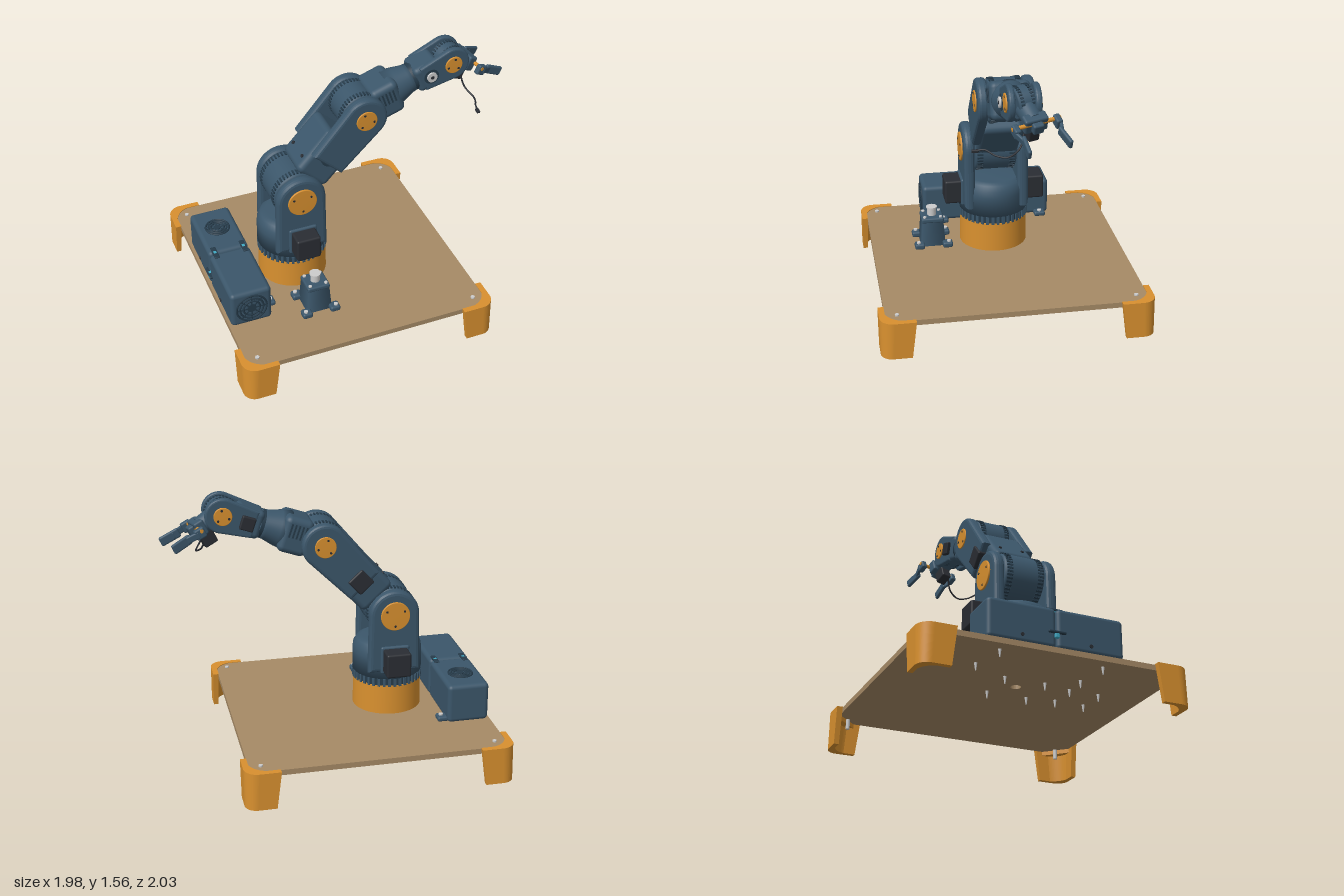
import * as THREE from 'three';
import { RoundedBoxGeometry } from 'three/addons/geometries/RoundedBoxGeometry.js';

const mat = (color) => new THREE.MeshStandardMaterial({ color });
const BLUE = mat(0x3b566a), ORANGE = mat(0xd8902f), WOOD = mat(0xa68a66), DARK = mat(0x2a2d33);
const NAVY = mat(0x263b4a), STEEL = mat(0xcccccc), CYAN = mat(0x3fa9c4);
const rad = THREE.MathUtils.degToRad;

function add(parent, name, geo, material, x = 0, y = 0, z = 0) {
  const m = new THREE.Mesh(geo, material);
  m.name = name;
  m.position.set(x, y, z);
  parent.add(m);
  return m;
}
function joint(parent, name, x, y, z, tilt) {
  const g = new THREE.Group();
  g.name = name;
  g.position.set(x, y, z);
  g.rotation.x = rad(tilt);
  parent.add(g);
  return g;
}
const rbox = (w, h, d, r = 0.015) => new RoundedBoxGeometry(w, h, d, 3, r);
const cyl = (r, h, r2 = r, n = 40) => new THREE.CylinderGeometry(r2, r, h, n);
const xcyl = (r, w, n = 40) => cyl(r, w, r, n).rotateZ(Math.PI / 2);

// Drum with a rounded rim, turning about x
function drum(r, w, b = 0.015) {
  const p = [[0, -w / 2], [r - b, -w / 2], [r - b * 0.3, -w / 2 + b * 0.3], [r, -w / 2 + b],
    [r, w / 2 - b], [r - b * 0.3, w / 2 - b * 0.3], [r - b, w / 2], [0, w / 2]];
  return new THREE.LatheGeometry(p.map(([a, c]) => new THREE.Vector2(a, c)), 48).rotateZ(Math.PI / 2);
}
// Rounded-end side plate in the z-y plane, thickness t along x
function cheek(w, y0, L, r, t, b = 0.014) {
  const s = new THREE.Shape();
  s.moveTo(-w + b, y0 + b);
  s.lineTo(w - b, y0 + b);
  s.lineTo(r - b, L);
  s.absarc(0, L, r - b, 0, Math.PI, false);
  s.closePath();
  const g = new THREE.ExtrudeGeometry(s, { depth: t - 2 * b, bevelSize: b, bevelThickness: b, bevelSegments: 3, curveSegments: 24 });
  return g.translate(0, 0, b - t / 2).rotateY(-Math.PI / 2);
}
// Ring of small teeth around an x-axis drum
function teeth(parent, r, xs, w, n, y = 0) {
  for (const x of xs) for (let i = 0; i < n; i++) {
    const a = (i / n) * Math.PI * 2;
    const t = add(parent, 'drumRib', new THREE.BoxGeometry(w, 0.012, 0.01), NAVY, x, y + r * Math.cos(a), r * Math.sin(a));
    t.rotation.x = a;
  }
}
// Orange bearing cap with three screws
function caps(parent, r, x, y) {
  for (const s of [-1, 1]) {
    add(parent, 'jointCap', drum(r, 0.016, 0.004), ORANGE, s * x, y, 0);
    for (let i = 0; i < 3; i++) {
      const a = (i / 3) * Math.PI * 2 + 0.5;
      add(parent, 'capScrew', xcyl(0.007, 0.02, 10), DARK, s * x, y + r * 0.7 * Math.sin(a), r * 0.7 * Math.cos(a));
    }
  }
}
function pulley(parent, x, y, r) {
  add(parent, 'pulleyRecess', xcyl(r * 1.5, 0.008), NAVY, x, y, 0);
  add(parent, 'pulley', xcyl(r, 0.03, 24), STEEL, x, y, 0);
  add(parent, 'pulleyBore', xcyl(r * 0.35, 0.034, 16), DARK, x, y, 0);
}

function buildTable(rig) {
  const hx = 0.745, hz = 0.735, r = 0.06;
  const s = new THREE.Shape();
  s.absarc(hx - r, hz - r, r, 0, Math.PI / 2);
  s.absarc(-hx + r, hz - r, r, Math.PI / 2, Math.PI);
  s.absarc(-hx + r, -hz + r, r, Math.PI, Math.PI * 1.5);
  s.absarc(hx - r, -hz + r, r, Math.PI * 1.5, Math.PI * 2);
  s.holes.push(new THREE.Path().absarc(0, 0.208, 0.03, 0, Math.PI * 2, true));
  add(rig, 'board', new THREE.ExtrudeGeometry(s, { depth: 0.032, bevelEnabled: false }).rotateX(Math.PI / 2), WOOD, 0, 0.216, 0);

  // Corner legs: rounded L walls tapering toward the floor
  const L = 0.2, t = 0.034, R = 0.08, H = 0.22;
  const leg = new THREE.Shape();
  leg.moveTo(-L, 0);
  leg.lineTo(-L, -t);
  leg.lineTo(-0.12, -t);
  leg.quadraticCurveTo(-0.055, -0.055, -t, -0.12);
  leg.lineTo(-t, -L);
  leg.lineTo(0, -L);
  leg.lineTo(0, -R);
  leg.absarc(-R, -R, R, 0, Math.PI / 2);
  const legGeo = new THREE.ExtrudeGeometry(leg, { depth: H, bevelEnabled: false }).rotateX(Math.PI / 2).translate(0, H, 0);
  const p = legGeo.attributes.position;
  for (let i = 0; i < p.count; i++) {
    const f = 0.86 + 0.14 * (p.getY(i) / H);
    p.setXYZ(i, p.getX(i) * f, p.getY(i), p.getZ(i) * f);
  }
  legGeo.computeVertexNormals();
  const shelf = new THREE.Shape([[-0.02, -0.06], [-0.06, -0.02], [-0.17, -0.02], [-0.02, -0.17]].map(([a, b]) => new THREE.Vector2(a, b)));
  const shelfGeo = new THREE.ExtrudeGeometry(shelf, { depth: 0.025, bevelEnabled: false }).rotateX(Math.PI / 2);
  [[1, 1], [1, -1], [-1, -1], [-1, 1]].forEach(([sx, sz], k) => {
    const g = joint(rig, 'leg', sx * 0.778, 0, sz * 0.768, 0);
    g.rotation.y = k * Math.PI / 2;
    add(g, 'legWall', legGeo, ORANGE);
    add(g, 'legShelf', shelfGeo, ORANGE, 0, 0.184, 0);
    add(g, 'legScrew', cyl(0.012, 0.1, 0.012, 12), STEEL, -0.1, 0.175, -0.1);
  });
  // Bolt tips under the board
  const bolts = [[-0.34, 0.44], [0.28, 0.44], [-0.3, 0.66], [0.3, 0.66]];
  for (const sx of [-1, 1]) for (const sz of [-1, 1]) bolts.push([0.377 + sx * 0.09, 0.205 + sz * 0.09], [sx * 0.12, 0.208 + sz * 0.12]);
  for (const [x, z] of bolts) add(rig, 'boltTip', cyl(0.003, 0.05, 0.01, 10), STEEL, x, 0.165, z);
}

function buildControlBox(rig) {
  const g = joint(rig, 'controlBox', 0, 0.215, 0.6, 0);
  for (const s of [-1, 1]) add(g, 'boxHalf', rbox(0.398, 0.232, 0.245, 0.025), BLUE, s * 0.2, 0.116, 0);
  for (const [y, z] of [[0.232, -0.09], [0.232, 0.085], [0.09, 0.122]]) {
    add(g, 'clip', rbox(0.1, 0.014, 0.03, 0.005), NAVY, 0, y, z);
    add(g, 'clipTab', rbox(0.025, 0.04, 0.022, 0.005), CYAN, 0, y - 0.012, z);
  }
  // Fan grilles on the top and the end
  const grille = (parent, r) => {
    add(parent, 'fanHub', cyl(r * 0.3, 0.008), NAVY);
    for (const k of [0.55, 0.78, 1]) add(parent, 'fanRing', new THREE.TorusGeometry(r * k, 0.006, 6, 36).rotateX(Math.PI / 2), NAVY);
    for (let i = 0; i < 4; i++) add(parent, 'fanSpoke', new THREE.BoxGeometry(r * 2, 0.006, 0.008), NAVY).rotation.y = i * Math.PI / 4;
  };
  grille(joint(g, 'topFan', -0.22, 0.233, 0, 0), 0.07);
  const end = joint(g, 'endFan', 0.4, 0.115, 0, 0);
  end.rotation.z = -Math.PI / 2;
  grille(end, 0.09);
  for (const [x, z] of [[-0.34, -0.14], [0.28, -0.14]]) {
    add(g, 'mountEar', rbox(0.07, 0.03, 0.07, 0.012), BLUE, x, 0.016, z);
    add(g, 'earScrew', cyl(0.013, 0.02, 0.013, 12), STEEL, x, 0.03, z - 0.01);
  }
  for (const x of [-0.2, 0.2]) add(g, 'frontScrew', cyl(0.01, 0.01, 0.01, 12).rotateX(Math.PI / 2), DARK, x, 0.045, 0.123);
}

function buildMotorStand(rig) {
  const g = joint(rig, 'motorStand', 0.377, 0.215, 0.205, 0);
  add(g, 'standBody', cyl(0.105, 0.175, 0.088, 4).rotateY(Math.PI / 4), BLUE, 0, 0.0875, 0);
  add(g, 'standTop', rbox(0.135, 0.03, 0.135, 0.01), BLUE, 0, 0.165, 0);
  add(g, 'standPulley', cyl(0.027, 0.055, 0.027, 20), STEEL, 0, 0.203, 0);
  add(g, 'pulleyFlange', cyl(0.033, 0.008), STEEL, 0, 0.23, 0);
  for (const sx of [-1, 1]) for (const sz of [-1, 1]) {
    add(g, 'standFoot', rbox(0.06, 0.035, 0.06, 0.012), BLUE, sx * 0.085, 0.017, sz * 0.085);
    add(g, 'footScrew', cyl(0.012, 0.012, 0.012, 12), STEEL, sx * 0.092, 0.038, sz * 0.092);
    add(g, 'topScrew', cyl(0.01, 0.012, 0.01, 12), STEEL, sx * 0.048, 0.182, sz * 0.048);
  }
}

function buildArm(rig) {
  // Turntable
  const base = joint(rig, 'turntable', 0, 0, 0.208, 0);
  add(base, 'basePedestal', cyl(0.203, 0.18, 0.2, 64), ORANGE, 0, 0.305, 0);
  add(base, 'baseRing', cyl(0.196, 0.06, 0.196, 64), NAVY, 0, 0.415, 0);
  for (let i = 0; i < 40; i++) {
    const a = i / 40 * Math.PI * 2;
    add(base, 'ringTooth', new THREE.BoxGeometry(0.016, 0.05, 0.02), BLUE, 0.196 * Math.sin(a), 0.415, 0.196 * Math.cos(a)).rotation.y = a;
  }
  const profile = [[0, 0.44], [0.205, 0.44], [0.205, 0.56], [0.2, 0.6], [0.18, 0.63], [0.15, 0.645], [0, 0.645]];
  add(base, 'waistBody', new THREE.LatheGeometry(profile.map(([a, b]) => new THREE.Vector2(a, b)), 56), BLUE);
  for (const s of [-1, 1]) {
    add(base, 'shoulderCheek', cheek(0.155, 0.48, 0.83, 0.148, 0.065, 0.025), BLUE, s * 0.16, 0, 0);
    add(base, 'waistMotor', rbox(0.11, 0.145, 0.145, 0.012), DARK, s * 0.245, 0.56, 0);
    add(base, 'motorMount', rbox(0.04, 0.17, 0.17, 0.012), BLUE, s * 0.185, 0.56, 0);
  }
  caps(base, 0.086, 0.195, 0.83);

  // Upper arm
  const upper = joint(rig, 'upperArm', 0, 0.83, 0.208, -42.6);
  const L1 = 0.591;
  add(upper, 'shoulderDrum', drum(0.145, 0.25, 0.02), BLUE);
  teeth(upper, 0.143, [-0.095, 0.095], 0.035, 44);
  add(upper, 'upperArmBody', rbox(0.25, 0.31, 0.235, 0.035), BLUE, 0, 0.27, 0);
  for (const s of [-1, 1]) add(upper, 'elbowCheek', cheek(0.115, 0.25, L1, 0.13, 0.062, 0.02), BLUE, s * 0.133, 0, 0);
  caps(upper, 0.062, 0.163, L1);
  add(upper, 'upperArmMotor', rbox(0.07, 0.11, 0.11, 0.01), DARK, -0.14, 0.29, 0);
  pulley(upper, 0.128, 0.29, 0.038);
  for (const x of [-0.07, 0.07]) add(upper, 'armScrew', cyl(0.01, 0.012, 0.01, 12).rotateX(Math.PI / 2), DARK, x, 0.2, 0.118);

  // Forearm
  const fore = joint(rig, 'forearm', 0, 1.265, -0.192, -70.8);
  const L2 = 0.593;
  add(fore, 'elbowDrum', drum(0.126, 0.195, 0.018), BLUE);
  teeth(fore, 0.124, [-0.075, 0.075], 0.03, 40);
  add(fore, 'forearmHousing', rbox(0.23, 0.17, 0.215, 0.035), BLUE, 0, 0.165, 0);
  const cone = [[0, 0.2], [0.115, 0.2], [0.105, 0.26], [0.085, 0.33], [0.08, 0.38], [0, 0.38]];
  add(fore, 'forearmTaper', new THREE.LatheGeometry(cone.map(([a, b]) => new THREE.Vector2(a, b)), 40), BLUE);
  for (const s of [-1, 1]) for (let i = 0; i < 5; i++) add(fore, 'vent', new THREE.BoxGeometry(0.006, 0.01, 0.08), NAVY, s * 0.115, 0.12 + i * 0.022, 0.03);
  add(fore, 'rollRing', cyl(0.083, 0.02), NAVY, 0, 0.36, 0);
  add(fore, 'wristBody', rbox(0.17, 0.16, 0.165, 0.03), BLUE, 0, 0.44, 0);
  for (const s of [-1, 1]) add(fore, 'wristCheek', cheek(0.08, 0.4, L2, 0.1, 0.036, 0.012), BLUE, s * 0.07, 0, 0);
  caps(fore, 0.052, 0.088, L2);
  add(fore, 'wristMotor', rbox(0.05, 0.08, 0.08, 0.008), DARK, -0.085, 0.45, 0);
  pulley(fore, 0.087, 0.45, 0.03);

  // Gripper
  const hand = joint(rig, 'gripper', 0, 1.46, -0.75, -115);
  hand.rotation.z = rad(14);
  add(hand, 'wristDrum', drum(0.088, 0.1, 0.012), BLUE);
  teeth(hand, 0.087, [-0.03, 0.03], 0.018, 30);
  add(hand, 'wristNeck', cyl(0.06, 0.1, 0.05), BLUE, 0, 0.1, 0);
  add(hand, 'palm', rbox(0.13, 0.06, 0.09, 0.012), BLUE, 0, 0.155, 0);
  add(hand, 'gripperMotor', rbox(0.06, 0.08, 0.085, 0.008), DARK, 0, 0.135, -0.08);
  add(hand, 'slideRail', xcyl(0.011, 0.27, 16), ORANGE, 0, 0.175, 0.012);
  add(hand, 'palmNose', rbox(0.06, 0.04, 0.06, 0.01), BLUE, 0, 0.195, 0);
  for (const s of [-1, 1]) {
    add(hand, 'fingerCarriage', rbox(0.035, 0.06, 0.06, 0.01), BLUE, s * 0.115, 0.185, 0);
    add(hand, 'fingerLink', rbox(0.018, 0.1, 0.04, 0.008), BLUE, s * 0.113, 0.24, 0).rotation.z = s * 0.3;
    add(hand, 'fingerPad', rbox(0.022, 0.12, 0.055, 0.01), BLUE, s * 0.107, 0.3, 0).rotation.z = s * -0.12;
  }
}

export function createModel() {
  const model = new THREE.Group();
  model.name = 'robotArm';
  const rig = joint(model, 'rig', 0, 0, 0.015, 0);
  rig.rotation.y = rad(-22.5);
  buildTable(rig);
  buildControlBox(rig);
  buildMotorStand(rig);
  buildArm(rig);
  // Loose motor cable with plug
  const pts = [[0.33, 1.32, -0.76], [0.36, 1.25, -0.77], [0.43, 1.215, -0.77], [0.48, 1.22, -0.73], [0.52, 1.245, -0.68], [0.56, 1.237, -0.655]];
  const curve = new THREE.CatmullRomCurve3(pts.map((p) => new THREE.Vector3(...p)));
  add(model, 'cable', new THREE.TubeGeometry(curve, 40, 0.005, 8), DARK);
  add(model, 'cablePlug', rbox(0.035, 0.014, 0.02, 0.003), DARK, 0.56, 1.237, -0.653).rotation.y = -0.5;
  return model;
}
